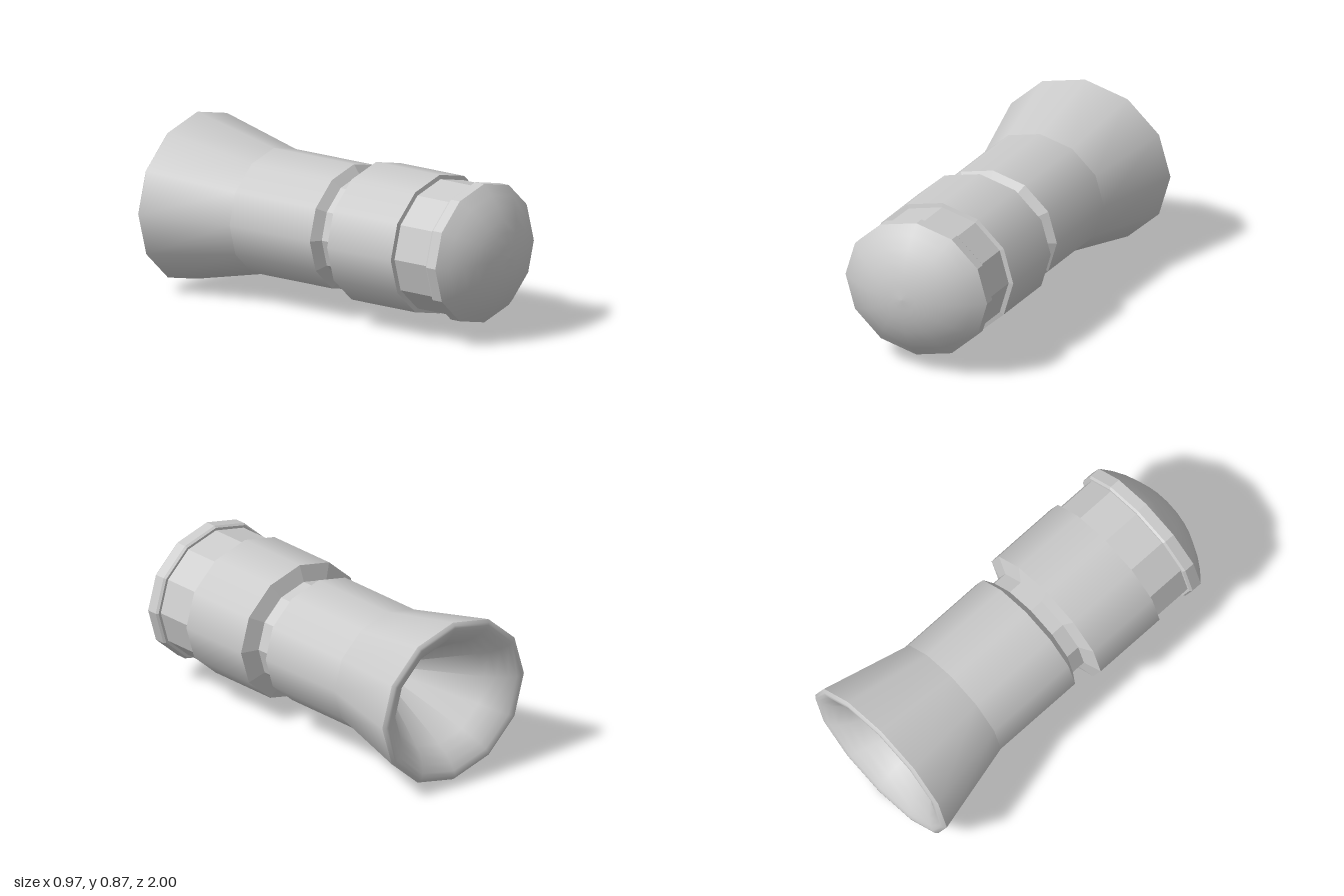
import * as THREE from 'three';

const SIDES = 12;      // every section is a twelve-sided oval
const SQUASH = 0.897;  // height to width of the oval
const AXIS_Y = 0.438;  // height of the long axis

// Turns a [z, radius] profile about the long axis; list it with z rising for outer faces.
function turned(name, profile, flat = false) {
  const points = profile.map(([z, r]) => new THREE.Vector2(r, z));
  let geometry = new THREE.LatheGeometry(points, SIDES);
  geometry.rotateX(Math.PI / 2);
  geometry.scale(1, SQUASH, 1);
  if (flat) {
    geometry = geometry.toNonIndexed();
    geometry.computeVertexNormals();
  }
  const material = new THREE.MeshStandardMaterial({ color: 0xcccccc, flatShading: flat });
  const mesh = new THREE.Mesh(geometry, material);
  mesh.name = name;
  mesh.position.y = AXIS_Y;
  return mesh;
}

export function createModel() {
  const model = new THREE.Group();
  model.name = 'flaredCapsule';

  // Flared rear: tapering inside, rolled lip, outer bell and straight sleeve
  model.add(
    turned('bellInside', [
      [-0.4, 0], [-0.88, 0.31], [-0.93, 0.345], [-0.97, 0.39], [-0.993, 0.43], [-1, 0.455], [-0.998, 0.47], [-0.985, 0.485],
    ]),
    turned('bell', [[-0.985, 0.485], [-0.5, 0.363]]),
    turned('sleeve', [[-0.5, 0.363], [0.01, 0.363]]),
  );

  // Faceted groove with sloping shoulders
  model.add(
    turned('rearShoulder', [[0.01, 0.363], [0.045, 0.31]], true),
    turned('neck', [[0.045, 0.31], [0.12, 0.31]], true),
    turned('frontShoulder', [[0.12, 0.31], [0.15, 0.402]], true),
  );

  // Front barrel, its flat front step and the recessed faceted band
  model.add(
    turned('barrel', [[0.15, 0.402], [0.555, 0.402]]),
    turned('barrelStep', [[0.555, 0.402], [0.56, 0.378]], true),
    turned('facetedBand', [[0.56, 0.378], [0.77, 0.378]], true),
  );

  // Cap rim and domed nose
  model.add(
    turned('rimStep', [[0.77, 0.378], [0.77, 0.393], [0.782, 0.402]], true),
    turned('capRim', [[0.782, 0.402], [0.838, 0.402]], true),
  );
  const dome = [];
  const capHeight = 0.162, capRadius = 0.402;
  const sphere = (capHeight ** 2 + capRadius ** 2) / (2 * capHeight);
  const halfAngle = Math.asin(capRadius / sphere);
  for (let i = 0; i <= 6; i++) {
    const a = halfAngle * (1 - i / 6);
    dome.push([1 - sphere * (1 - Math.cos(a)), sphere * Math.sin(a)]);
  }
  model.add(turned('domedNose', dome));

  return model;
}
